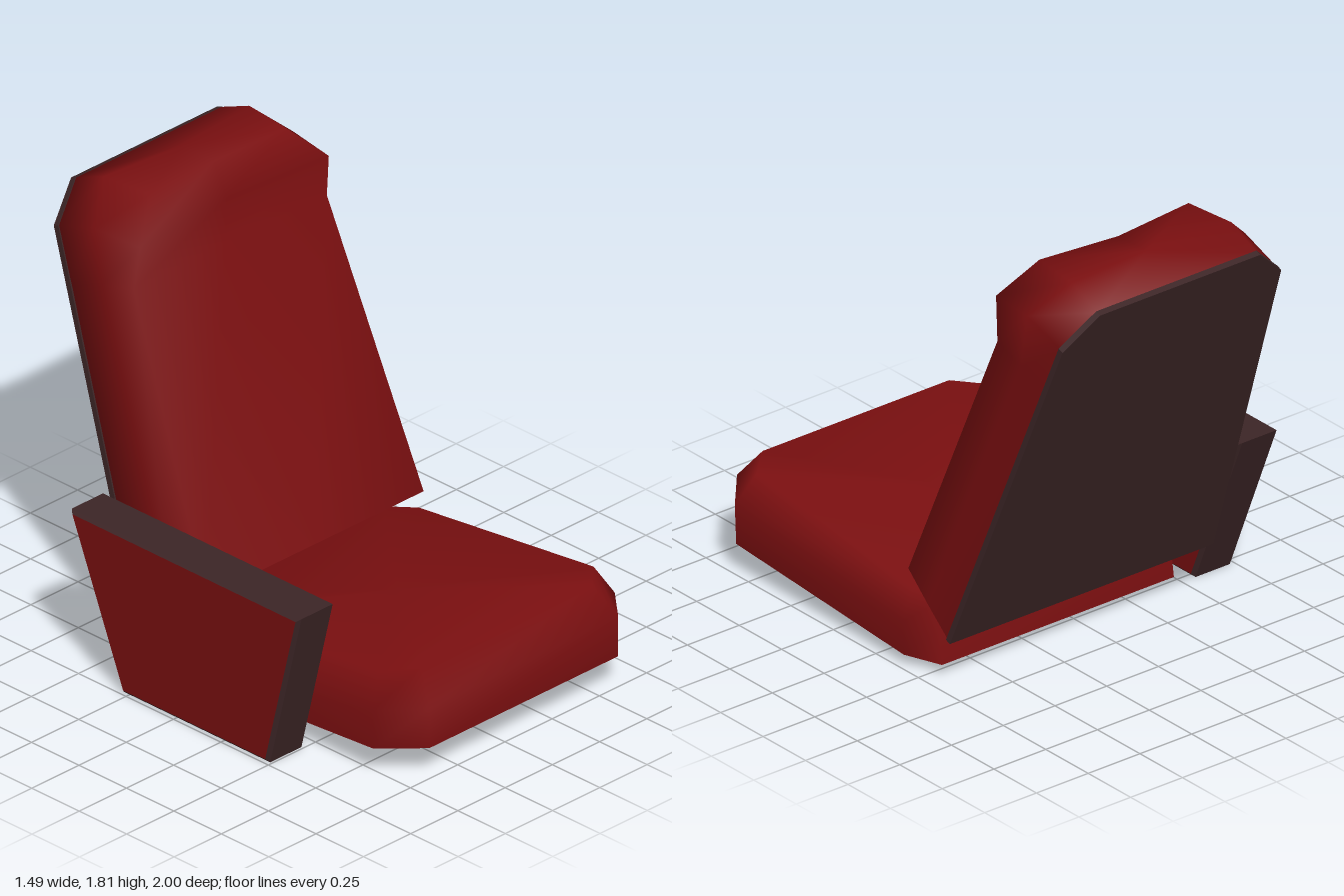
import * as THREE from 'three';

const red = new THREE.MeshStandardMaterial({ color: 0x7a0f10 });
red.name = 'dark red upholstery';
const brown = new THREE.MeshStandardMaterial({ color: 0x3c2526 });
brown.name = 'dark brown trim';

// Full ring from half a section: [halfWidth, y, z] listed front to rear on the +x side.
function ring(half) {
  const other = half.filter(p => p[0] > 0).reverse().map(([x, y, z]) => [-x, y, z]);
  return [...half, ...other];
}

const middle = r => [0, 1, 2].map(k => r.reduce((s, p) => s + p[k], 0) / r.length);

// Flat underside closing a ring, facing down.
function underside(r) {
  const pts = [...r, middle(r)], n = r.length, index = [];
  for (let i = 0; i < n; i++) index.push(n, (i + 1) % n, i);
  return finish(pts, index);
}

// Smooth skin through a stack of rings, closed on top.
function skin(rings, top) {
  const n = rings[0].length, last = rings.length - 1, index = [];
  const pts = [...rings.flat(), top];
  for (let i = 0; i < n; i++) {
    const j = (i + 1) % n;
    for (let r = 0; r < last; r++) {
      const a = r * n, b = a + n;
      index.push(a + i, a + j, b + j, a + i, b + j, b + i);
    }
    index.push(pts.length - 1, last * n + i, last * n + j);
  }
  return finish(pts, index);
}

function finish(pts, index) {
  const g = new THREE.BufferGeometry();
  g.setAttribute('position', new THREE.Float32BufferAttribute(pts.flat(), 3));
  g.setIndex(index);
  g.computeVertexNormals();
  return g;
}

function outline(points) {
  return new THREE.Shape(points.map(([x, y]) => new THREE.Vector2(x, y)));
}

function part(parent, name, geometry, material) {
  const m = new THREE.Mesh(geometry, material);
  m.name = name;
  parent.add(m);
  return m;
}

export function createModel() {
  const model = new THREE.Group();
  model.name = 'chair';
  const CX = 0.1; // seat and backrest sit to one side of the armrest

  // Seat cushion: bottom, widest and bevelled top outlines, each with cut corners
  const seat = new THREE.Group();
  seat.name = 'seat';
  seat.position.x = CX;
  model.add(seat);
  const seatRing = (pts, yAt) => ring(pts.map(([w, z]) => [w, yAt(z), z]));
  const seatRings = [
    seatRing([[0.5, 1], [0.635, 0.84], [0.63, -0.14], [0.56, -0.28]], z => 0.13 - (1 - z) * 0.0742),
    seatRing([[0.5, 1], [0.642, 0.84], [0.635, -0.14], [0.56, -0.26]], z => 0.3 - (1 - z) * 0.1),
    seatRing([[0.45, 0.91], [0.57, 0.8], [0.57, -0.12], [0.5, -0.24]], z => 0.42 - (0.91 - z) * 0.117),
  ];
  part(seat, 'seatCushion', skin(seatRings, middle(seatRings[2])), red);
  part(seat, 'seatBase', underside(seatRings[0]), brown);

  // Backrest cushion: sections from the bottom up to the headrest, dished at the centre
  const backrest = new THREE.Group();
  backrest.name = 'backrest';
  backrest.position.x = CX;
  model.add(backrest);
  const backRings = [
    [[0, 0.375, -0.1], [0.575, 0.375, -0.1], [0.605, 0.295, -0.25], [0.632, 0.212, -0.406]],
    [[0, 1.48, -0.575], [0.51, 1.49, -0.545], [0.525, 1.45, -0.7], [0.538, 1.405, -0.858]],
    [[0, 1.67, -0.565], [0.5, 1.67, -0.525], [0.527, 1.68, -0.74], [0.523, 1.615, -0.937]],
    [[0, 1.8, -0.635], [0.36, 1.81, -0.61], [0.385, 1.81, -0.83], [0.383, 1.745, -0.985]],
  ].map(ring);
  part(backrest, 'backCushion', skin(backRings, [0, 1.805, -0.8]), red);
  part(backrest, 'backCushionUnderside', underside(backRings[0]), red);

  // Thin panel over the rear of the backrest
  const panelShape = outline([
    [-0.637, 0], [0.637, 0], [0.528, 1.502], [0.387, 1.641], [-0.387, 1.641], [-0.528, 1.502],
  ]);
  const panel = part(backrest, 'backPanel',
    new THREE.ExtrudeGeometry(panelShape, { depth: 0.025, bevelEnabled: false }), brown);
  panel.position.set(0, 0.205, -0.42);
  panel.rotation.x = -Math.atan2(0.58, 1.535);

  // Armrest: red side faces, brown bevelled rim all around
  const armShape = outline([[-0.28, 0], [0.49, 0], [0.655, 0.675], [-0.555, 0.675]]);
  const bevel = 0.015;
  const arm = part(model, 'armrest', new THREE.ExtrudeGeometry(armShape, {
    depth: 0.195 - 2 * bevel, bevelEnabled: true, bevelSegments: 1,
    bevelSize: bevel, bevelThickness: bevel, bevelOffset: -bevel,
  }), [red, brown]);
  arm.rotation.y = -Math.PI / 2;
  arm.position.x = -0.55 - bevel;

  return model;
}
